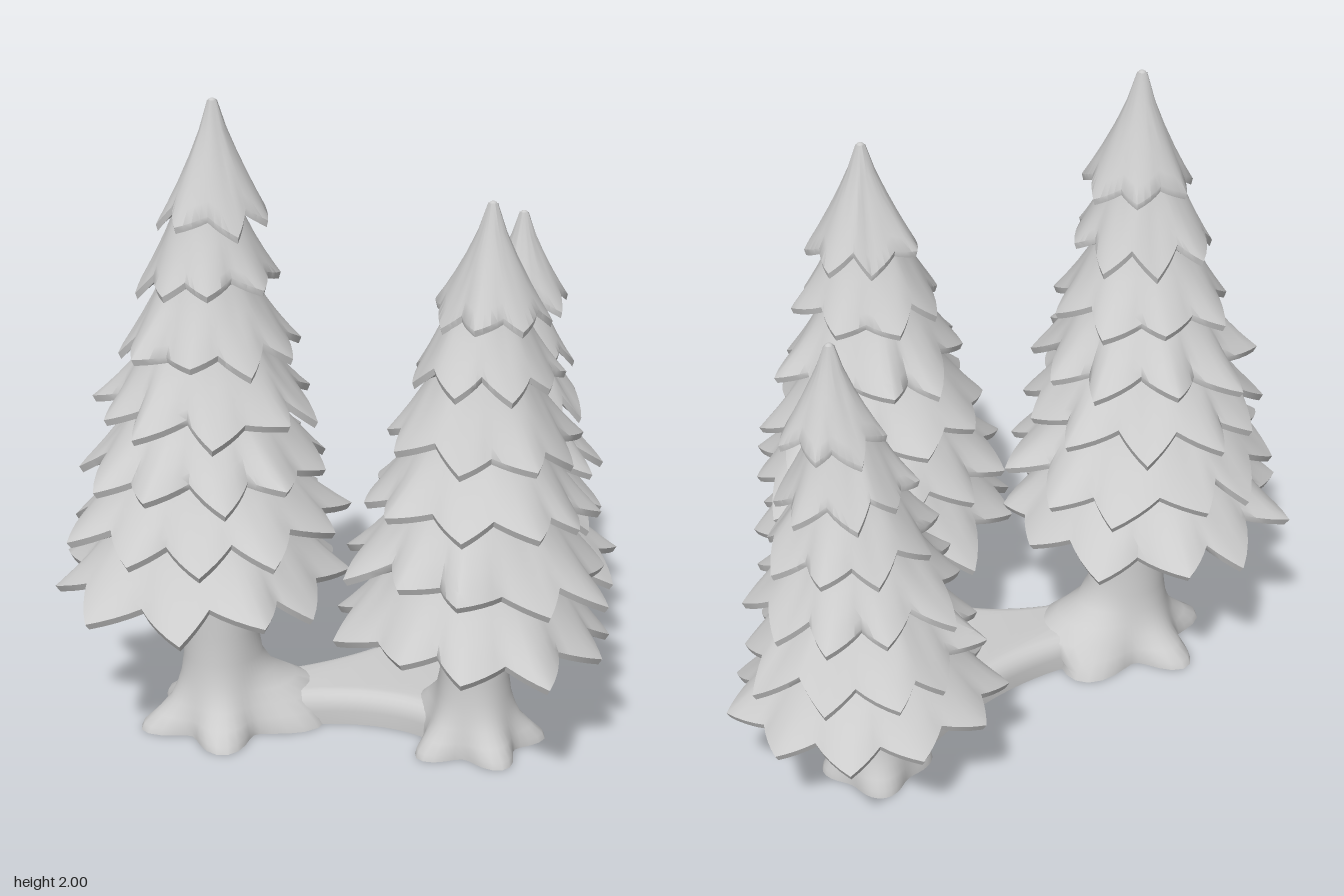
import * as THREE from 'three';
import { toCreasedNormals } from 'three/addons/utils/BufferGeometryUtils.js';

const stone = new THREE.MeshStandardMaterial({ color: 0xcccccc });
stone.name = 'light grey';

const lerp = THREE.MathUtils.lerp;

// Small seeded random generator
function seeded(seed) {
  let s = seed;
  return () => {
    s = (s * 16807) % 2147483647;
    return s / 2147483647;
  };
}

// Closed ring surface: point(row, column) gives [x, y, z]; rows run from top to bottom
function ringSurface(rows, cols, point, crease) {
  const pos = [], index = [];
  for (let r = 0; r < rows; r++) {
    for (let c = 0; c < cols; c++) {
      pos.push(...point(r, c));
      if (r === rows - 1) continue;
      const a = r * cols + c, b = r * cols + (c + 1) % cols;
      index.push(a, b, a + cols, b, b + cols, a + cols);
    }
  }
  const geo = new THREE.BufferGeometry();
  geo.setAttribute('position', new THREE.Float32BufferAttribute(pos, 3));
  geo.setIndex(index);
  return toCreasedNormals(geo, crease);
}

function addMesh(group, name, geo) {
  const mesh = new THREE.Mesh(geo, stone);
  mesh.name = name;
  group.add(mesh);
  return mesh;
}

// One ragged skirt of drooping pointed boughs, with a rim and a hollow underside
function boughTier({ radius, tipY, topRadius, topY, innerRadius, lobes, tilt, rand }) {
  const steps = 8, cols = lobes * steps;
  const turn = rand() * Math.PI * 2;
  const boughs = Array.from({ length: lobes }, () => ({
    reach: 0.92 + rand() * 0.14,
    sag: (rand() - 0.5) * 0.05,
    skew: (rand() - 0.5) * 0.7,
    notch: 0.75 + rand() * 0.09,
    lift: 0.025 + rand() * 0.04,
  }));
  const slope = [0, 0.2, 0.42, 0.64, 0.84, 1];
  return ringSurface(slope.length + 3, cols, (r, c) => {
    const k = Math.floor(c / steps);
    const bough = boughs[k];
    const u = (c % steps) / steps;
    const valley = u < 0.5 ? bough : boughs[(k + 1) % lobes];
    const w = 1 - Math.abs(2 * u - 1);                  // 1 on the tip, 0 in the notch
    const angle = turn + ((c + bough.skew * w * steps * 0.5) / cols) * Math.PI * 2;
    const edgeR = radius * lerp(valley.notch, bough.reach, w);
    const edgeY = tipY + lerp(valley.lift, bough.sag, w);
    let rad, y;
    if (r < slope.length) {
      const t = slope[r];
      const smooth = lerp(topRadius, radius * 0.87, t);
      rad = smooth + (edgeR - radius * 0.87) * Math.pow(t, 1.7);
      y = lerp(topY, edgeY, Math.pow(t, 0.82));
    } else if (r === slope.length) {                    // thin rim
      rad = edgeR * 0.97;
      y = edgeY - 0.02;
    } else if (r === slope.length + 1) {                // underside
      rad = lerp(edgeR, innerRadius, 0.5);
      y = tipY + 0.035;
    } else {
      rad = innerRadius;
      y = tipY + 0.065;
    }
    const x = Math.cos(angle) * rad;
    return [x, y + tilt * x, Math.sin(angle) * rad];
  }, 0.8);
}

// Trunk with a foot split into roots and a fillet running out along the bridge
function trunkGeometry({ trunkR, footR, foot }, height) {
  const levels = [[height, 0, 0], [0.32, 0.02, 0], [0.23, 0.06, 0.01], [0.17, 0.14, 0.04],
    [0.13, 0.26, 0.1], [0.09, 0.42, 0.16], [0.05, 0.72, 0.14], [0.02, 0.95, 0.1], [0, 1, 0.1]];
  const cols = 48;
  return ringSurface(levels.length + 1, cols, (r, c) => {
    if (r === levels.length) return [0, 0, 0];
    const [y, flare, fillet] = levels[r];
    const a = (c / cols) * Math.PI * 2;
    const lobe = 0.68 + 0.32 * Math.cos(foot.roots * (a - foot.turn)) * flare;
    const inward = Math.pow(Math.max(0, Math.cos(a - foot.bridge)), 4);
    const rad = trunkR + (footR - trunkR) * flare * lobe + fillet * foot.spread * inward;
    return [Math.cos(a) * rad, y, Math.sin(a) * rad];
  }, 0.9);
}

function buildTree(spec) {
  const { name, trunk, peak, skirt, tips, radii, trunkR, tilt, seed } = spec;
  const tree = new THREE.Group();
  tree.name = name;
  const rand = seeded(seed);
  const last = tips.length - 1;
  const lowY = tips[last];
  addMesh(tree, 'trunk', trunkGeometry(spec, lowY + 0.09)).position.set(trunk[0], 0, trunk[1]);
  tips.forEach((tipY, i) => {
    const first = i === 0;
    const geo = boughTier({
      radius: radii[i],
      tipY,
      topRadius: first ? 0.014 : radii[i - 1] * 0.52,
      topY: first ? peak[1] - 0.005 : tips[i - 1] + 0.07,
      innerRadius: i === last ? trunkR * 0.8 : radii[i] * 0.48,
      lobes: Math.min(7 + i, 11),
      tilt: first ? tilt * 0.5 : tilt,
      rand,
    });
    // The crown leans slightly from the lowest skirt to the peak
    const s = first ? 1 : (tipY - lowY) / (peak[1] - lowY);
    addMesh(tree, first ? 'crownTop' : 'boughTier' + i, geo)
      .position.set(lerp(skirt[0], peak[0], s), 0, lerp(skirt[1], peak[2], s));
  });
  // Rounded tip
  const tip = addMesh(tree, 'peak', new THREE.SphereGeometry(0.015, 12, 8));
  tip.position.set(peak[0], peak[1] - 0.015, peak[2]);
  return tree;
}

// Low bridge with concave sides and a rounded upper edge, flat underneath
function groundBridge() {
  const shape = new THREE.Shape();           // drawn in x and -z
  shape.moveTo(-0.49, 0.18);
  shape.quadraticCurveTo(0.02, 0.04, 0.5, 0.4);
  shape.lineTo(0.57, 0.31);
  shape.quadraticCurveTo(0.15, 0.07, 0.25, -0.33);
  shape.lineTo(0.14, -0.34);
  shape.quadraticCurveTo(0.05, 0, -0.48, 0.04);
  shape.closePath();
  const geo = new THREE.ExtrudeGeometry(shape, {
    depth: 0.045, bevelEnabled: true, bevelThickness: 0.06, bevelSize: 0.05,
    bevelSegments: 5, curveSegments: 20,
  });
  geo.rotateX(-Math.PI / 2);
  const pos = geo.attributes.position;
  for (let i = 0; i < pos.count; i++) pos.setY(i, Math.max(pos.getY(i), 0));
  return toCreasedNormals(geo, 0.8);
}

export function createModel() {
  const model = new THREE.Group();
  model.name = 'firTrees';
  addMesh(model, 'groundBridge', groundBridge());
  const trees = [
    {
      name: 'tallTree', trunk: [-0.48, -0.11], trunkR: 0.113, footR: 0.27, tilt: 0, seed: 4711,
      foot: { roots: 5, turn: Math.PI, bridge: 0.05, spread: 1 },
      peak: [-0.47, 2, -0.11], skirt: [-0.53, -0.1],
      tips: [1.64, 1.44, 1.25, 1.06, 0.88, 0.69, 0.5],
      radii: [0.17, 0.225, 0.29, 0.35, 0.4, 0.44, 0.475],
    },
    {
      name: 'middleTree', trunk: [0.2, 0.32], trunkR: 0.102, footR: 0.225, tilt: -0.08, seed: 90210,
      foot: { roots: 5, turn: Math.PI / 2, bridge: -1.87, spread: 0.5 },
      peak: [0.23, 1.735, 0.335], skirt: [0.19, 0.34],
      tips: [1.39, 1.2, 1.0, 0.8, 0.6, 0.39],
      radii: [0.18, 0.24, 0.305, 0.37, 0.415, 0.445],
    },
    {
      name: 'smallTree', trunk: [0.54, -0.36], trunkR: 0.098, footR: 0.165, tilt: -0.06, seed: 31337,
      foot: { roots: 4, turn: 0.3, bridge: 2.59, spread: 0.5 },
      peak: [0.64, 1.49, -0.34], skirt: [0.56, -0.36],
      tips: [1.18, 1.01, 0.84, 0.66, 0.48, 0.29],
      radii: [0.15, 0.205, 0.265, 0.325, 0.375, 0.425],
    },
  ];
  trees.forEach((t) => model.add(buildTree(t)));
  return model;
}
